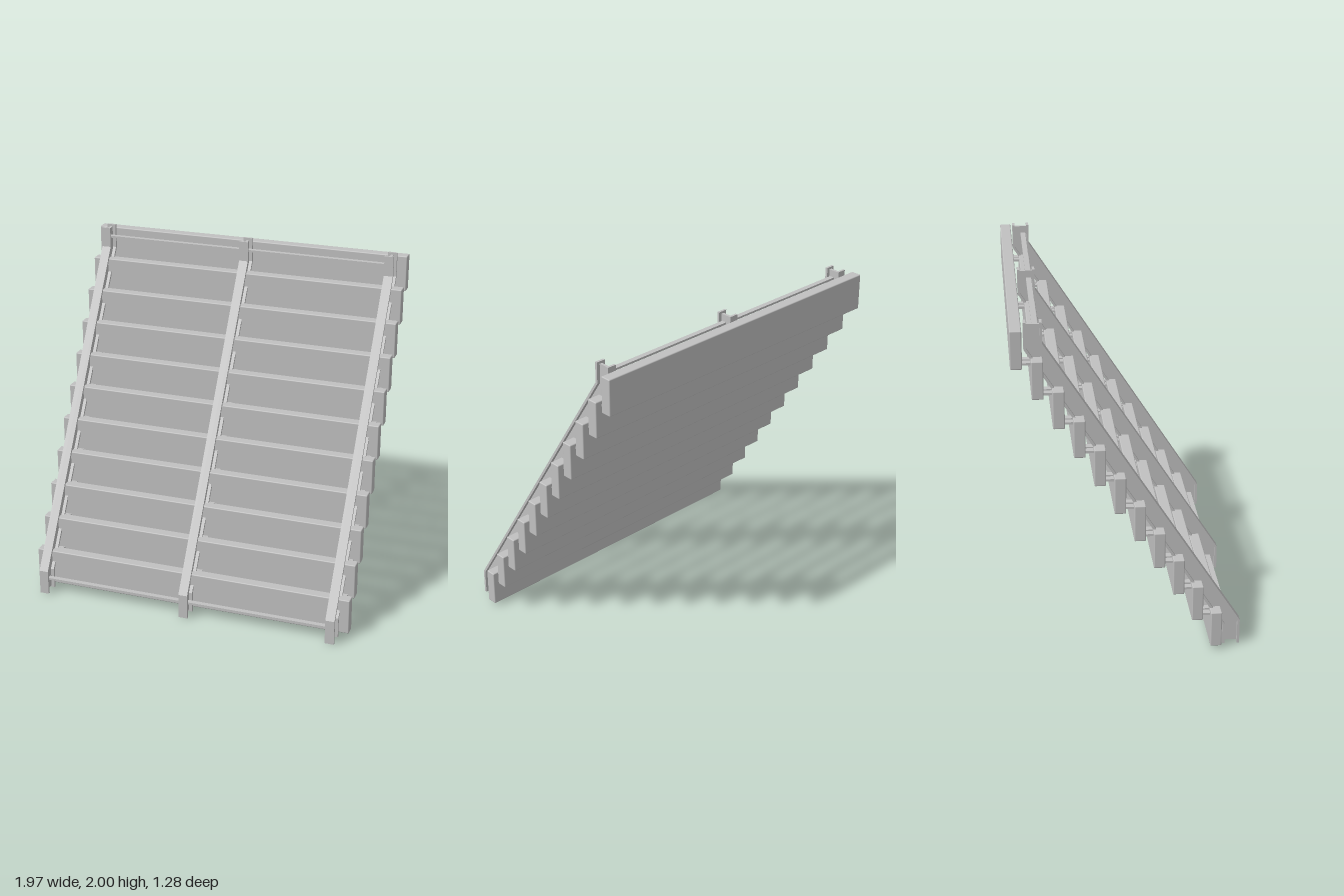
import * as THREE from 'three';
import { RoundedBoxGeometry } from 'three/addons/geometries/RoundedBoxGeometry.js';

const STEPS = 11, RISE = 0.174, RUN = 0.1103;
const BEAM_X = [-0.9, 0, 0.9];
const FLANGE = 0.014, BEAM_DEPTH = 0.1;

// Line of the beam's front face in (z, y), moved back by d
function beamLine(d, trim) {
  return [
    [0.64 - d, trim], [0.64 - d, 0.15 - 0.29 * d],
    [-0.465 - d, 1.88 - 0.29 * d], [-0.465 - d, 2 - trim],
  ];
}

// Strip of the beam between two depths, extruded across x
function beamStrip(d0, d1, width, trim = 0) {
  const points = [...beamLine(d0, trim), ...beamLine(d1, trim).reverse()];
  const shape = new THREE.Shape(points.map(([z, y]) => new THREE.Vector2(z, y)));
  const geometry = new THREE.ExtrudeGeometry(shape, { depth: width, bevelEnabled: false });
  geometry.translate(0, 0, -width / 2);
  geometry.rotateY(-Math.PI / 2);
  return geometry;
}

export function createModel() {
  const model = new THREE.Group();
  model.name = 'openStaircase';
  const grey = new THREE.MeshStandardMaterial({ color: 0xc0c0c0 });
  grey.name = 'light grey';

  const add = (parent, name, geometry, x = 0, y = 0, z = 0) => {
    const mesh = new THREE.Mesh(geometry, grey);
    mesh.name = name;
    mesh.position.set(x, y, z);
    parent.add(mesh);
  };

  // Planks climbing towards the back
  const plank = new RoundedBoxGeometry(1.97, 0.216, 0.064, 2, 0.006);
  for (let i = 0; i < STEPS; i++) {
    add(model, 'plank', plank, 0, 0.128 + i * RISE, 0.496 - i * RUN);
  }

  // I-section beams with a pair of bracket tabs at each plank
  const frontFlange = beamStrip(0, FLANGE, 0.055);
  const rearFlange = beamStrip(BEAM_DEPTH - FLANGE, BEAM_DEPTH, 0.055);
  const web = beamStrip(FLANGE, BEAM_DEPTH - FLANGE, 0.016, 0.013);
  const tab = new THREE.BoxGeometry(0.038, 0.013, 0.125);
  for (const x of BEAM_X) {
    const beam = new THREE.Group();
    beam.name = 'beam';
    beam.position.x = x;
    add(beam, 'frontFlange', frontFlange);
    add(beam, 'rearFlange', rearFlange);
    add(beam, 'web', web);
    for (let i = 1; i < STEPS; i++) {
      for (const side of [-1, 1]) {
        add(beam, 'bracketTab', tab, side * 0.027, 0.036 + i * RISE, 0.57 - i * RUN);
      }
    }
    model.add(beam);
  }

  // Flat tie bars joining the beams at foot and head
  const tieBar = new THREE.BoxGeometry(1.8, 0.012, 0.03);
  add(model, 'lowerTieBar', tieBar, 0, 0.08, 0.585);
  add(model, 'upperTieBar', tieBar, 0, 1.94, -0.5);

  return model;
}
